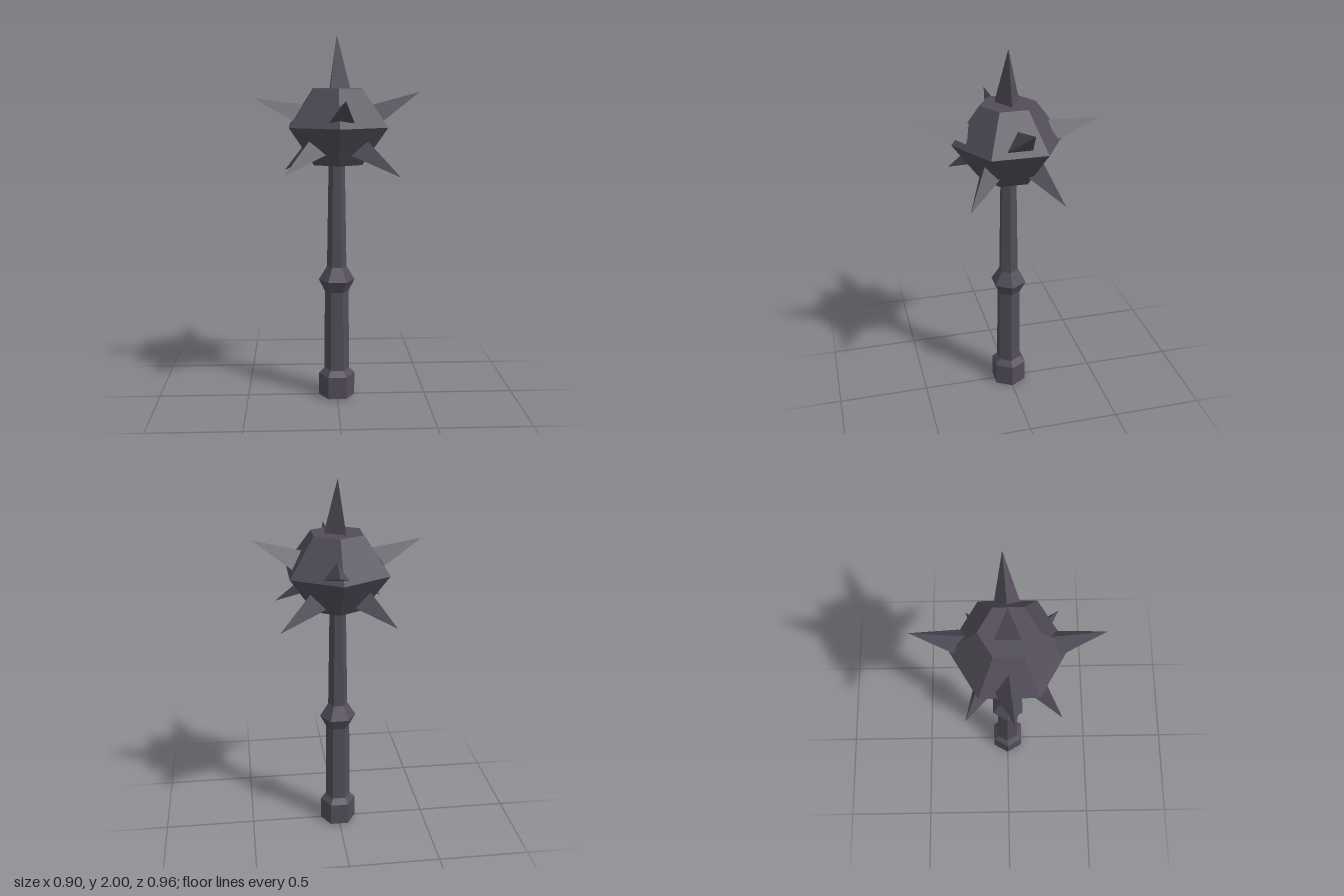
import * as THREE from 'three';

const V = (x, y, z) => new THREE.Vector3(x, y, z);

// Six-sided solid turned from a [radius, height] profile, bottom to top
function hexLathe(profile, start) {
  return new THREE.LatheGeometry(profile.map(([r, y]) => new THREE.Vector2(r, y)), 6, start);
}

// Three-sided spike: base centre, tip, and the vector from centre to one base corner
function spikeGeometry(base, tip, corner) {
  const axis = tip.clone().sub(base);
  const side = axis.clone().cross(corner).setLength(0.077);
  const geometry = new THREE.ConeGeometry(1, 1, 3).translate(0, 0.5, 0);
  const matrix = new THREE.Matrix4().makeBasis(side, axis, corner).setPosition(base);
  return geometry.applyMatrix4(matrix);
}

export function createModel() {
  const iron = new THREE.MeshStandardMaterial({ color: 0x524d59, flatShading: true });
  iron.name = 'dark iron';
  const group = new THREE.Group();
  group.name = 'spikedMace';
  const add = (name, geometry) => {
    const mesh = new THREE.Mesh(geometry, iron);
    mesh.name = name;
    group.add(mesh);
    return mesh;
  };

  // Handle, corners on the x axis
  const turn = Math.PI / 6;
  add('pommel', hexLathe([[0, 0], [0.1, 0], [0.1, 0.125], [0.068, 0.158]], turn));
  add('grip', hexLathe([[0.07, 0.155], [0.066, 0.605]], turn));
  add('collar', hexLathe([[0.066, 0.605], [0.1, 0.67], [0.054, 0.745]], turn));
  add('shaft', hexLathe([[0.054, 0.745], [0.044, 1.33]], turn));

  // Head, corners on the z axis
  const head = add('head', hexLathe([[0, 1.315], [0.149, 1.315], [0.3, 1.518], [0.149, 1.72], [0, 1.72]], 0));
  head.position.set(0.004, 0, 0.004);

  add('topSpike', spikeGeometry(V(0, 1.715, 0), V(0, 2, 0), V(0.074, 0, 0)));

  // Side spikes: name, base centre, tip, outward lean and rise of the upper base corner
  const spikes = [
    ['leftUpperSpike', V(0.222, 1.573, 0), V(0.45, 1.7, -0.02), -0.037, 0.057],
    ['rightUpperSpike', V(-0.214, 1.577, 0.003), V(-0.45, 1.67, 0.03), -0.037, 0.057],
    ['frontUpperSpike', V(0.014, 1.575, 0.228), V(0.025, 1.665, 0.48), -0.037, 0.057],
    ['backUpperSpike', V(0.032, 1.565, -0.226), V(0.05, 1.62, -0.48), -0.037, 0.057],
    ['leftFrontLowerSpike', V(0.127, 1.403, 0.132), V(0.32, 1.27, 0.275), 0.04, 0.047],
    ['rightFrontLowerSpike', V(-0.123, 1.403, 0.132), V(-0.28, 1.28, 0.275), 0.04, 0.047],
    ['leftBackLowerSpike', V(0.13, 1.39, -0.118), V(0.325, 1.257, -0.22), 0.04, 0.047],
    ['rightBackLowerSpike', V(-0.125, 1.39, -0.12), V(-0.287, 1.257, -0.22), 0.04, 0.047],
  ];
  for (const [name, base, tip, lean, rise] of spikes) {
    const corner = V(base.x, 0, base.z).setLength(1).multiplyScalar(lean).setY(rise);
    add(name, spikeGeometry(base, tip, corner));
  }
  return group;
}
